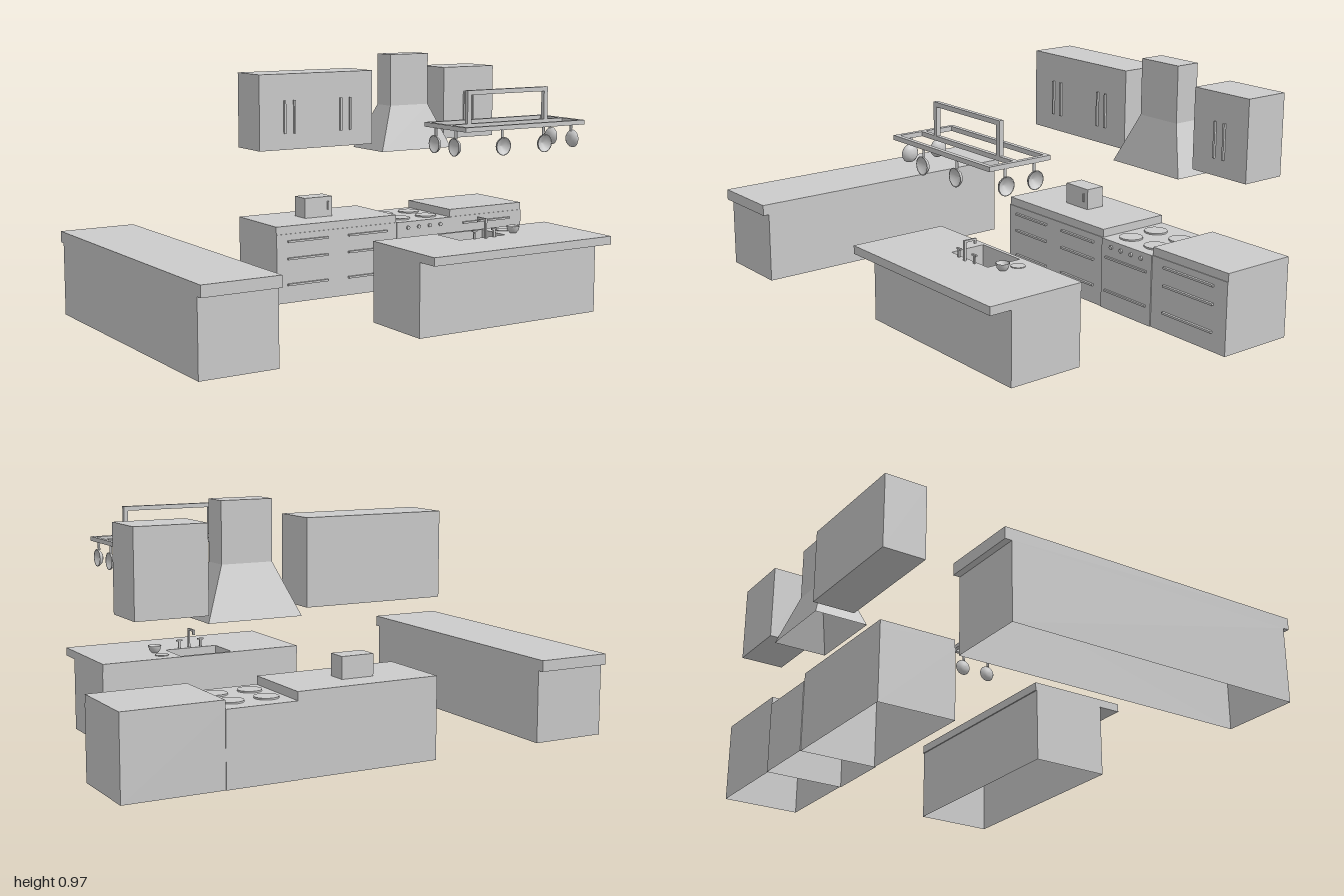
import * as THREE from 'three';

export function createModel() {
  const model = new THREE.Group();
  const mat = new THREE.MeshStandardMaterial({ color: 0xcccccc, side: THREE.DoubleSide });

  const add = (name, geo, parent = model) => {
    const m = new THREE.Mesh(geo, mat);
    m.name = name;
    parent.add(m);
    return m;
  };
  // Box given by its limits; an open box has no floor
  const box = (name, x0, x1, y0, y1, z0, z1, parent = model, open = false) => {
    const g = new THREE.BoxGeometry(x1 - x0, y1 - y0, z1 - z0);
    if (open) {
      const i = Array.from(g.index.array);
      i.splice(18, 6);
      g.setIndex(i);
      g.clearGroups();
    }
    g.translate((x0 + x1) / 2, (y0 + y1) / 2, (z0 + z1) / 2);
    return add(name, g, parent);
  };
  const group = (name) => {
    const g = new THREE.Group();
    g.name = name;
    model.add(g);
    return g;
  };
  const disc = (name, x, y, z, r, h, parent) =>
    add(name, new THREE.CylinderGeometry(r, r, h, 24).translate(x, y + h / 2, z), parent);

  // Long side counter
  const side = group('sideCounter');
  box('sideCounterBody', -1, -0.7, 0, 0.28, -0.575, 0.575, side, true);
  box('sideCounterTop', -1, -0.7, 0.28, 0.323, -0.6, 0.6, side);

  // Base cabinets either side of the stove, with drawer handles
  const base = group('baseCabinets');
  for (const [x0, x1, columns] of [[-0.225, 0.345, 2], [0.62, 1, 1]]) {
    box('cabinetBody', x0, x1, 0, 0.28, -0.6, -0.287, base, true);
    box('cabinetTop', x0, x1, 0.28, 0.312, -0.6, -0.29, base);
    const w = (x1 - x0) / columns;
    for (let c = 0; c < columns; c++) {
      const cx = x0 + w * (c + 0.5);
      for (const y of [0.25, 0.18, 0.075])
        box('drawerHandle', cx - w * 0.33, cx + w * 0.33, y - 0.004, y + 0.004, -0.287, -0.277, base);
    }
  }

  // Stove with four burners
  const stove = group('stove');
  box('stoveBody', 0.345, 0.62, 0, 0.28, -0.603, -0.283, stove, true);
  for (const x of [0.415, 0.55])
    for (const z of [-0.5, -0.37]) disc('burner', x, 0.28, z, 0.045, 0.006, stove);
  for (const y of [0.21, 0.075]) box('ovenHandle', 0.37, 0.595, y - 0.004, y + 0.004, -0.283, -0.275, stove);
  for (let i = 0; i < 4; i++) {
    const knob = add('stoveKnob', new THREE.CylinderGeometry(0.008, 0.008, 0.008, 12), stove);
    knob.rotation.x = Math.PI / 2;
    knob.position.set(0.4 + i * 0.055, 0.255, -0.28);
  }

  // Toaster
  const toaster = group('toaster');
  box('toasterBody', -0.02, 0.11, 0.312, 0.395, -0.495, -0.415, toaster);
  box('toasterHandle', 0.085, 0.092, 0.34, 0.375, -0.415, -0.409, toaster);

  // Wall cabinets
  const wall = group('wallCabinets');
  for (const [x0, x1, handles] of [[-0.225, 0.31, [-0.11, -0.065, 0.155, 0.2]], [0.677, 0.94, [0.785, 0.83]]]) {
    box('wallCabinet', x0, x1, 0.6, 0.907, -0.6, -0.42, wall);
    for (const x of handles) box('doorHandle', x - 0.004, x + 0.004, 0.665, 0.8, -0.42, -0.412, wall);
  }

  // Hood: chimney on a flared, open skirt
  const hood = group('rangeHood');
  box('chimney', 0.4, 0.59, 0.755, 0.97, -0.517, -0.417, hood);
  const skirt = box('hoodSkirt', 0.4, 0.59, 0.57, 0.755, -0.517, -0.417, hood, true);
  const p = skirt.geometry.attributes.position;
  for (let i = 0; i < p.count; i++) {
    if (p.getY(i) > 0.6) continue;
    p.setX(i, p.getX(i) < 0.5 ? 0.32 : 0.67);
    p.setZ(i, p.getZ(i) < -0.47 ? -0.582 : -0.356);
  }
  skirt.geometry.computeVertexNormals();

  // Island with a cut-out for the sink
  const island = group('island');
  const [sx0, sx1, sz0, sz1] = [0.215, 0.43, 0.19, 0.335];
  const walls = new THREE.BoxGeometry(0.825, 0.28, 0.305);
  const idx = Array.from(walls.index.array);
  idx.splice(12, 12);
  walls.setIndex(idx);
  walls.clearGroups();
  add('islandBody', walls.translate(0.3425, 0.14, 0.3325), island);
  const rect = (C, x0, x1, z0, z1) => {
    const s = new C();
    s.moveTo(x0, -z0).lineTo(x1, -z0).lineTo(x1, -z1).lineTo(x0, -z1).closePath();
    return s;
  };
  const top = rect(THREE.Shape, -0.07, 0.755, 0.175, 0.575);
  top.holes.push(rect(THREE.Path, sx0, sx1, sz0, sz1));
  add('islandTop', new THREE.ExtrudeGeometry(top, { depth: 0.032, bevelEnabled: false })
    .rotateX(-Math.PI / 2).translate(0, 0.28, 0), island);
  // Sink basin, an open box turned upside down
  const basin = box('sinkBasin', sx0, sx1, -0.05, 0.05, sz0, sz1, island, true);
  basin.geometry.translate(-(sx0 + sx1) / 2, 0, -(sz0 + sz1) / 2);
  basin.rotation.x = Math.PI;
  basin.position.set((sx0 + sx1) / 2, 0.25, (sz0 + sz1) / 2);

  // Faucet and taps
  const faucet = group('faucet');
  box('faucetPost', 0.318, 0.326, 0.312, 0.388, 0.35, 0.359, faucet);
  box('faucetSpout', 0.318, 0.326, 0.38, 0.388, 0.305, 0.35, faucet);
  box('faucetTip', 0.318, 0.326, 0.368, 0.38, 0.305, 0.313, faucet);
  for (const s of [-1, 1]) {
    const x = 0.322 + s * 0.046;
    box('tapPost', x - 0.004, x + 0.004, 0.312, 0.345, 0.342, 0.35, faucet);
    box('tapLever', x - 0.012, x + 0.012, 0.34, 0.346, 0.342, 0.35, faucet);
  }

  // Bowl and dish on the island
  const curve = (pts) => pts.map(([r, y]) => new THREE.Vector2(r, y));
  add('bowl', new THREE.LatheGeometry(curve([[0, 0], [0.013, 0], [0.021, 0.009], [0.026, 0.027],
    [0.023, 0.027], [0.018, 0.011], [0, 0.005]]), 24).translate(0.487, 0.312, 0.312), island);
  disc('dish', 0.487, 0.312, 0.243, 0.027, 0.003, island);

  // Hanging rack: frame, middle rail and arch
  const rack = group('potRack');
  const [rx0, rx1, rz0, rz1, t] = [0.11, 0.667, 0.25, 0.51, 0.017];
  for (const z of [rz0, 0.3815, rz1 - t]) box('rackRail', rx0, rx1, 0.74, 0.757, z, z + t, rack);
  for (const x of [rx0, rx1 - t]) box('rackEnd', x, x + t, 0.74, 0.757, rz0, rz1, rack);
  for (const x of [0.2, 0.56]) box('archPost', x, x + t, 0.757, 0.88, 0.3815, 0.3815 + t, rack);
  box('archBar', 0.2, 0.577, 0.863, 0.88, 0.3815, 0.3815 + t, rack);

  // Hanging pans, rims facing outward
  const panGeo = new THREE.LatheGeometry(curve([[0, -0.022], [0.014, -0.021], [0.025, -0.015],
    [0.032, -0.006], [0.034, 0], [0.03, 0], [0.022, -0.012], [0, -0.018]]), 24).rotateX(Math.PI / 2);
  const stemGeo = new THREE.CylinderGeometry(0.005, 0.005, 0.034, 10).translate(0, 0.047, -0.009);
  const pan = (x, z, turn) => {
    const g = new THREE.Group();
    g.name = 'hangingPan';
    add('panBowl', panGeo, g);
    add('panStem', stemGeo, g);
    g.position.set(x, 0.68, z);
    g.rotation.y = turn;
    rack.add(g);
  };
  for (const x of [0.282, 0.475]) pan(x, 0.51, 0);
  for (const z of [0.315, 0.44]) {
    pan(rx0 - 0.002, z, -Math.PI / 2);
    pan(rx1 + 0.002, z, Math.PI / 2);
  }
  return model;
}
